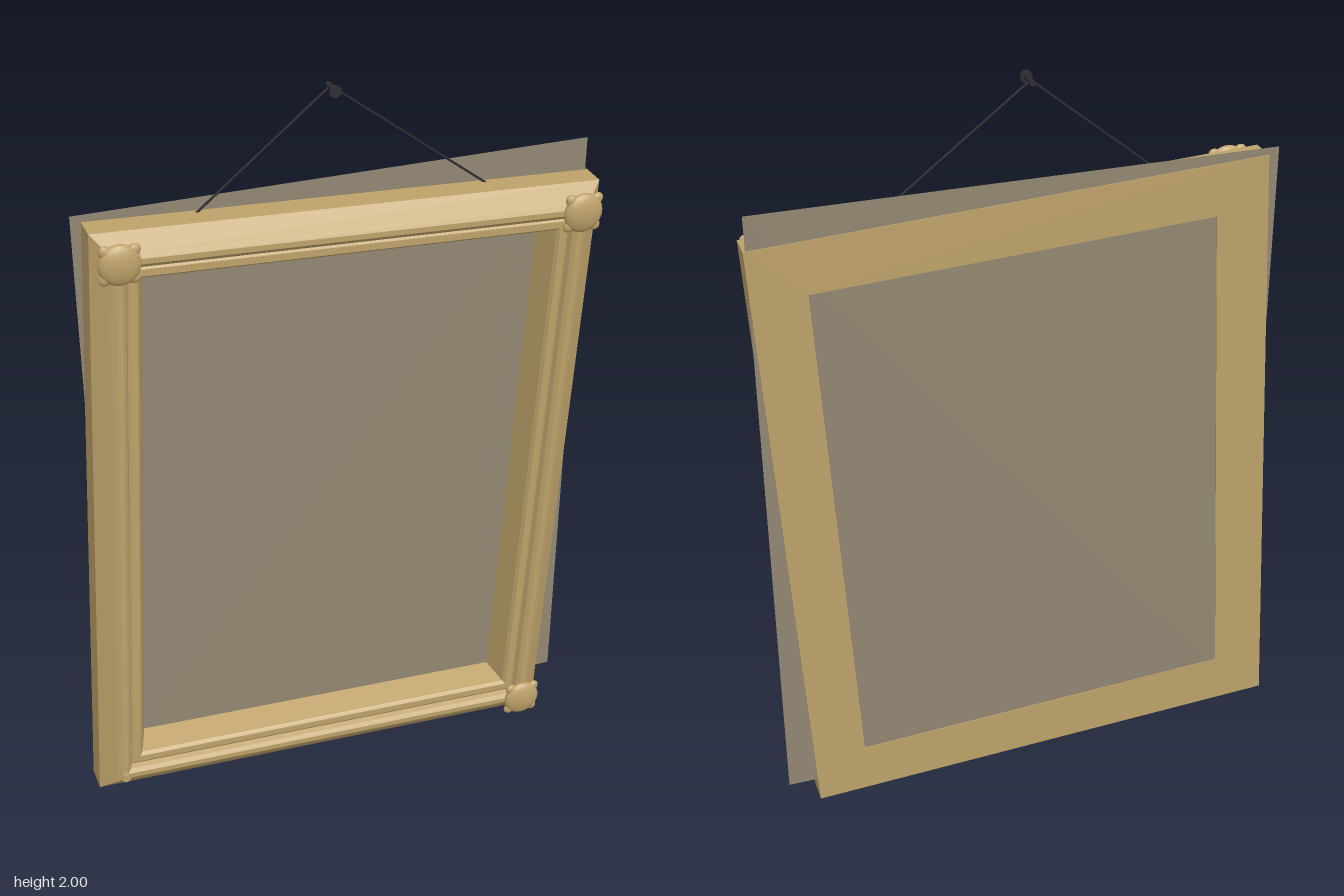
import * as THREE from 'three';

const gold = new THREE.MeshStandardMaterial({ color: 0xbda169 });
gold.name = 'antique gold';
const canvasGrey = new THREE.MeshStandardMaterial({ color: 0x918672, side: THREE.DoubleSide });
canvasGrey.name = 'canvas grey';
const iron = new THREE.MeshStandardMaterial({ color: 0x2c2c32 });
iron.name = 'dark iron';

const HALF_W = 0.653, HALF_H = 0.832;

function addMesh(parent, name, geometry, material, x = 0, y = 0, z = 0) {
  const mesh = new THREE.Mesh(geometry, material);
  mesh.name = name;
  mesh.position.set(x, y, z);
  parent.add(mesh);
  return mesh;
}

// Moulding section: [inset from the outer edge, z], from the back outer edge,
// over the bead and lip, then round the rebate that holds the canvas
const section = [
  [0, -0.071], [0, 0], [0.042, 0.038], [0.054, 0.046], [0.068, 0.046], [0.078, 0.038],
  [0.084, 0.025], [0.09, 0.029], [0.108, 0.029], [0.115, 0.02],
  [0.138, -0.045], [0.11, -0.045], [0.11, -0.069], [0.138, -0.069], [0.138, -0.071],
];

// Sweeps the section round four mitred corners
function mouldingGeometry() {
  const corners = [[1, 1], [-1, 1], [-1, -1], [1, -1]];
  const point = (k, j) => {
    const [sx, sy] = corners[k % 4];
    const [inset, z] = section[j % section.length];
    return [sx * (HALF_W - inset), sy * (HALF_H - inset), z];
  };
  const positions = [];
  for (let k = 0; k < 4; k++) {
    for (let j = 0; j < section.length; j++) {
      const a = point(k, j), b = point(k + 1, j), c = point(k + 1, j + 1), d = point(k, j + 1);
      positions.push(...a, ...b, ...c, ...a, ...c, ...d);
    }
  }
  const geometry = new THREE.BufferGeometry();
  geometry.setAttribute('position', new THREE.Float32BufferAttribute(positions, 3));
  geometry.computeVertexNormals();
  return geometry;
}

// Domed boss with four small leaves tucked under its rim
function cornerRosette(x, y) {
  const rosette = new THREE.Group();
  rosette.name = 'cornerRosette';
  rosette.position.set(x, y, 0.048);
  addMesh(rosette, 'boss', new THREE.SphereGeometry(0.052, 24, 16), gold).scale.z = 0.38;
  for (let i = 0; i < 4; i++) {
    const a = Math.PI / 4 + i * Math.PI / 2;
    const leaf = addMesh(rosette, 'leaf', new THREE.SphereGeometry(0.02, 12, 8), gold,
      Math.cos(a) * 0.046, Math.sin(a) * 0.046, -0.002);
    leaf.scale.set(1, 0.8, 0.5);
    leaf.rotation.z = a;
  }
  return rosette;
}

export function createModel() {
  const model = new THREE.Group();
  model.name = 'hangingPictureFrame';

  // Frame hangs slightly crooked
  const frame = new THREE.Group();
  frame.name = 'tiltedFrame';
  frame.position.set(0, 0.866, 0);
  frame.rotation.z = -0.053;
  model.add(frame);
  addMesh(frame, 'moulding', mouldingGeometry(), gold);

  // Three rosettes remain; the fourth corner keeps only its peg
  for (const [sx, sy] of [[-1, 1], [1, 1], [1, -1]]) frame.add(cornerRosette(sx * 0.592, sy * 0.77));
  const peg = addMesh(frame, 'barePeg', new THREE.CylinderGeometry(0.012, 0.012, 0.03, 10), gold, -0.592, -0.77, 0.042);
  peg.rotation.x = Math.PI / 2;

  // Canvas has slipped and stays upright behind the frame
  addMesh(model, 'canvas', new THREE.PlaneGeometry(1.325, 1.68), canvasGrey, 0.028, 0.91, -0.068);

  // Nail with a flat head
  const nail = new THREE.Group();
  nail.name = 'nail';
  nail.position.set(0, 1.985, 0);
  model.add(nail);
  const shaft = addMesh(nail, 'nailShaft', new THREE.CylinderGeometry(0.007, 0.007, 0.05, 10), iron, 0, 0, -0.045);
  const head = addMesh(nail, 'nailHead', new THREE.CylinderGeometry(0.015, 0.015, 0.006, 14), iron, 0, 0, -0.019);
  shaft.rotation.x = head.rotation.x = Math.PI / 2;

  // Wire from the nail down to both sides of the top rail
  const top = new THREE.Vector3(0, 1.987, -0.052);
  for (const [x, y] of [[-0.34, 1.71], [0.42, 1.668]]) {
    const path = new THREE.LineCurve3(top, new THREE.Vector3(x, y, -0.058));
    addMesh(model, 'hangingWire', new THREE.TubeGeometry(path, 1, 0.003, 6), iron);
  }

  return model;
}
